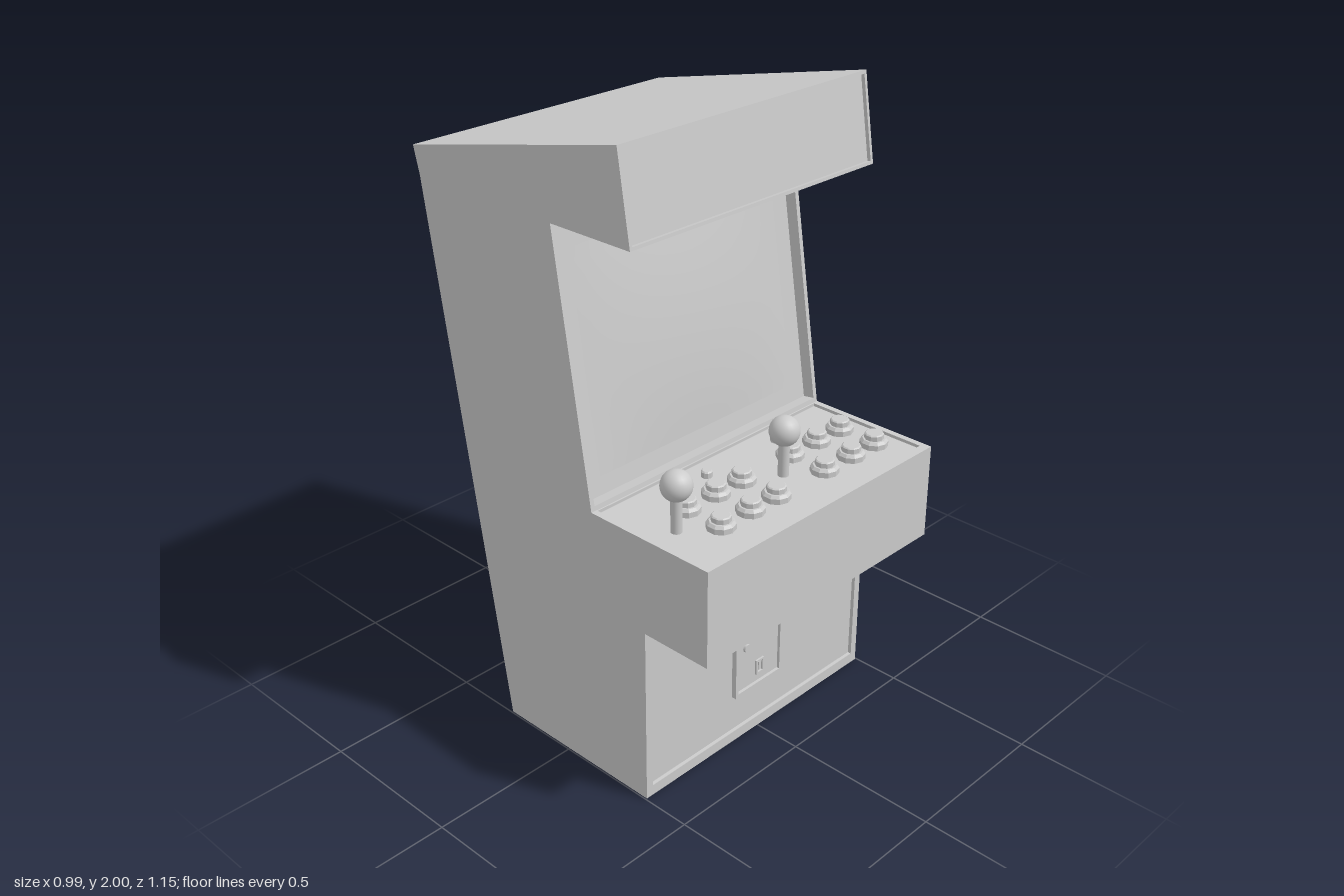
import * as THREE from 'three';

const mat = new THREE.MeshStandardMaterial({ color: 0xcccccc });
const smoothSheet = new THREE.MeshStandardMaterial({ color: 0xcccccc, side: THREE.DoubleSide });
const HALF = 0.495;

// Cabinet side outline as [z, y]; a third entry marks a recessed panel on the
// edge that starts there: side border, start margin, end margin, depth.
const OUTLINE = [
  [0.34, 0, { side: 0.025, start: 0.035, end: 0.03, depth: 0.012 }], // lower front
  [0.34, 0.59],
  [0.58, 0.59],
  [0.58, 0.9, { side: 0.02, start: 0.028, end: 0.005, depth: 0.01 }], // control deck
  [0.13, 0.9, { side: 0.015, start: 0.015, end: 0.025, depth: 0.04 }], // screen bay
  [0, 1.73],
  [0.302, 1.73, { side: 0.01, start: 0.01, end: 0.01, depth: 0.012 }], // header sign
  [0.26, 2],
  [-0.575, 1.82],
  [-0.553, 1.735],
  [-0.27, 0],
];

function add(parent, name, geometry, x = 0, y = 0, z = 0, material = mat) {
  const mesh = new THREE.Mesh(geometry, material);
  mesh.name = name;
  mesh.position.set(x, y, z);
  parent.add(mesh);
  return mesh;
}

// Outline at a given distance from the cabinet side, with the recesses that reach it
function outlineAt(inset) {
  const pts = [];
  OUTLINE.forEach(([z, y, r], i) => {
    const a = new THREE.Vector2(z, y);
    pts.push(a);
    if (!r || r.side > inset) return;
    const next = OUTLINE[(i + 1) % OUTLINE.length];
    const b = new THREE.Vector2(next[0], next[1]);
    const d = b.clone().sub(a).normalize();
    const inward = new THREE.Vector2(-d.y, d.x).multiplyScalar(r.depth);
    const s = a.clone().addScaledVector(d, r.start);
    const e = b.clone().addScaledVector(d, -r.end);
    pts.push(s, s.clone().add(inward), e.clone().add(inward), e);
  });
  return new THREE.Shape(pts);
}

function slab(parent, name, inset, x0, x1) {
  const g = new THREE.ExtrudeGeometry(outlineAt(inset), { depth: x1 - x0, bevelEnabled: false });
  g.rotateY(-Math.PI / 2);
  add(parent, name, g, x1);
}

function lathe(points, sides) {
  const g = new THREE.LatheGeometry(points.map((p) => new THREE.Vector2(...p)), sides).toNonIndexed();
  g.computeVertexNormals();
  return g;
}

// Flat rectangular ring in the xy plane
function ring(w, h, border, depth) {
  const rect = (T, a, b) => new T([[-a, -b], [a, -b], [a, b], [-a, b]].map((p) => new THREE.Vector2(...p)));
  const s = rect(THREE.Shape, w / 2, h / 2);
  s.holes.push(rect(THREE.Path, w / 2 - border, h / 2 - border));
  return new THREE.ExtrudeGeometry(s, { depth, bevelEnabled: false });
}

export function createModel() {
  const model = new THREE.Group();

  // Cabinet body: slabs from the sides inwards, each opening one more recess
  const cabinet = new THREE.Group();
  cabinet.name = 'cabinet';
  model.add(cabinet);
  const steps = [0, 0.01, 0.015, 0.02, 0.025];
  for (let i = 0; i < 4; i++) {
    const outer = HALF - steps[i], inner = HALF - steps[i + 1];
    slab(cabinet, 'leftSide', steps[i], inner, outer);
    slab(cabinet, 'rightSide', steps[i], -outer, -inner);
  }
  slab(cabinet, 'core', 0.025, -HALF + 0.025, HALF - 0.025);

  // Bulging screen lying on the tilted bezel
  const glass = new THREE.PlaneGeometry(0.83, 0.675, 20, 16);
  const p = glass.attributes.position;
  for (let i = 0; i < p.count; i++) {
    const u = p.getX(i) / 0.415, v = p.getY(i) / 0.3375;
    p.setZ(i, 0.018 * (1 - u * u) * (1 - v * v) + 0.003);
  }
  glass.computeVertexNormals();
  const screen = add(model, 'screen', glass, 0, 1.3, 0.028, smoothSheet);
  screen.rotation.x = -Math.atan2(0.13, 0.83);

  // Push buttons: collar with a raised plunger
  const button = lathe([[0.044, 0], [0.044, 0.018], [0.036, 0.026], [0.03, 0.026], [0.03, 0.041], [0.026, 0.044], [0, 0.044]], 10);
  for (const x of [-0.288, -0.165, -0.054, 0.163, 0.287, 0.398])
    for (const z of [0.302, 0.436]) add(model, 'button', button, x, 0.889, z);

  // Small start buttons
  const startButton = lathe([[0.018, 0], [0.018, 0.018], [0.014, 0.022], [0, 0.022]], 10);
  for (const x of [-0.1, 0.21]) add(model, 'startButton', startButton, x, 0.889, 0.205);

  // Joysticks
  for (const x of [-0.39, 0.062]) {
    const stick = new THREE.Group();
    stick.name = 'joystick';
    stick.position.set(x, 0.885, 0.362);
    model.add(stick);
    add(stick, 'shaft', new THREE.CylinderGeometry(0.017, 0.017, 0.13, 16), 0, 0.065, 0);
    add(stick, 'ball', new THREE.SphereGeometry(0.047, 24, 16), 0, 0.152, 0);
  }

  // Coin door with frame, lock and two slots
  const door = new THREE.Group();
  door.name = 'coinDoor';
  door.position.set(-0.003, 0.305, 0.328);
  model.add(door);
  add(door, 'doorFrame', ring(0.215, 0.29, 0.012, 0.017), 0, 0, 0);
  add(door, 'doorPanel', new THREE.BoxGeometry(0.18, 0.255, 0.012), 0, 0, 0.006);
  const lock = add(door, 'lock', new THREE.CylinderGeometry(0.014, 0.014, 0.02, 12), -0.058, 0.02, 0.01);
  lock.rotation.x = Math.PI / 2;
  for (const y of [0.065, -0.075]) {
    add(door, 'slotFrame', ring(0.036, 0.052, 0.007, 0.018), 0.003, y, 0);
    add(door, 'slot', new THREE.BoxGeometry(0.008, 0.03, 0.015), 0.003, y, 0.0075);
  }

  // Power connector on the back
  const plug = add(model, 'powerPlug', lathe([[0.043, -0.03], [0.043, 0.06], [0.036, 0.068], [0.025, 0.068], [0.025, 0.105], [0.017, 0.105], [0.017, 0.085], [0, 0.085]], 12), -0.325, 0.155, -0.285);
  plug.rotation.x = -Math.PI / 2;

  return model;
}
